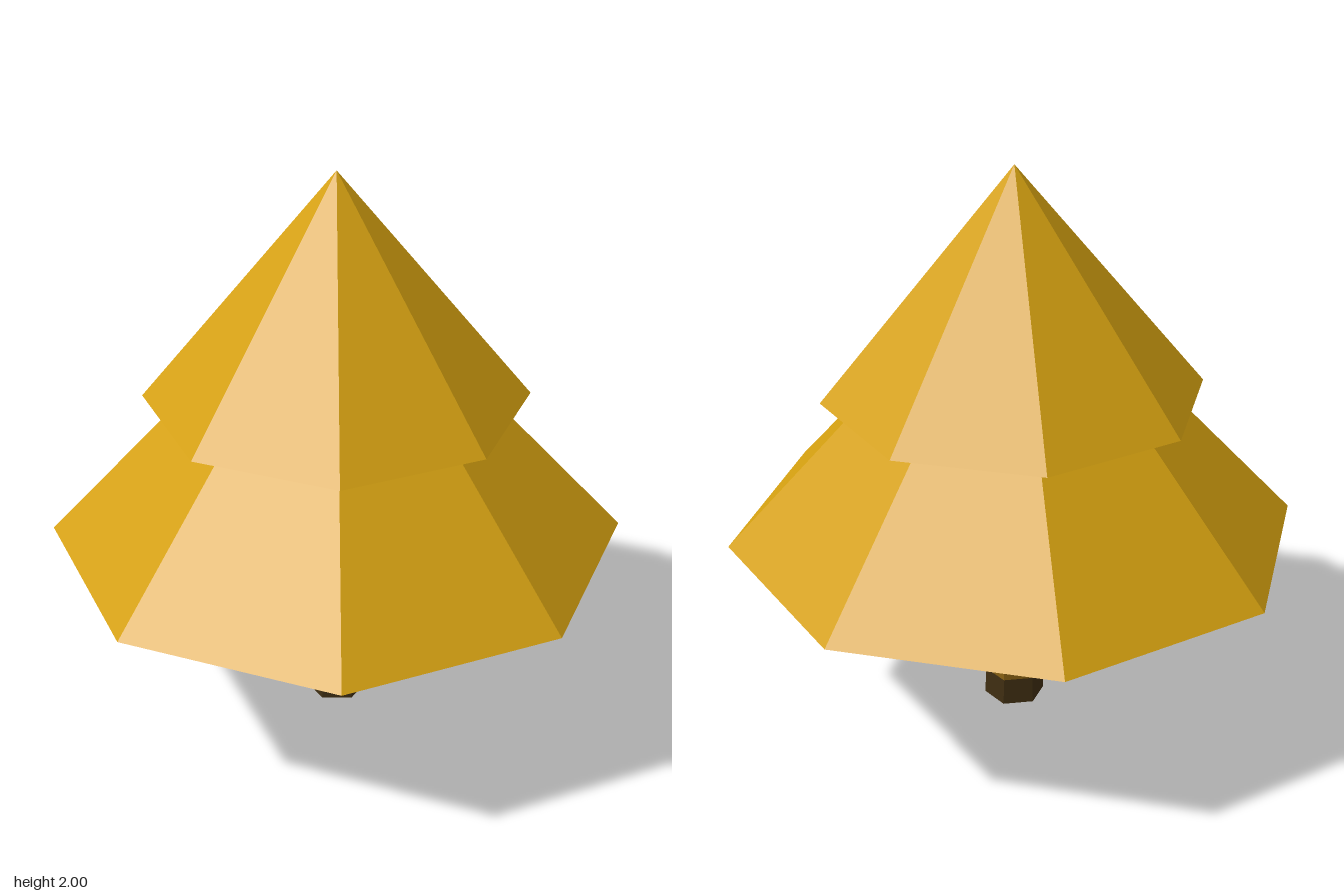
import * as THREE from 'three';

export function createModel() {
  const tree = new THREE.Group();
  tree.name = 'tree';

  const material = (name, color) => {
    const m = new THREE.MeshStandardMaterial({ color, flatShading: true });
    m.name = name;
    return m;
  };
  const gold = material('golden foliage', 0xd4a010);
  const bark = material('brown bark', 0x865f11);
  const darkBark = material('dark bark', 0x3f2e12);

  // A faceted ring standing between two heights
  const addTier = (name, mat, sides, rBottom, rTop, y0, y1, turn = 0) => {
    const geo = rTop === 0
      ? new THREE.ConeGeometry(rBottom, y1 - y0, sides)
      : new THREE.CylinderGeometry(rTop, rBottom, y1 - y0, sides);
    geo.rotateY(turn);
    const mesh = new THREE.Mesh(geo, mat);
    mesh.name = name;
    mesh.position.y = (y0 + y1) / 2;
    tree.add(mesh);
  };

  // Six-sided tapering trunk with a dark foot, corners on the x axis
  addTier('trunkFoot', darkBark, 6, 0.108, 0.105, 0, 0.1, Math.PI / 6);
  addTier('trunk', bark, 6, 0.105, 0.085, 0.1, 0.7, Math.PI / 6);

  // Two eight-sided foliage cones; the lower tip hides inside the upper cone
  addTier('lowerFoliage', gold, 8, 1, 0, 0.685, 1.75);
  addTier('upperFoliage', gold, 8, 0.66, 0, 1.205, 2);

  return tree;
}
